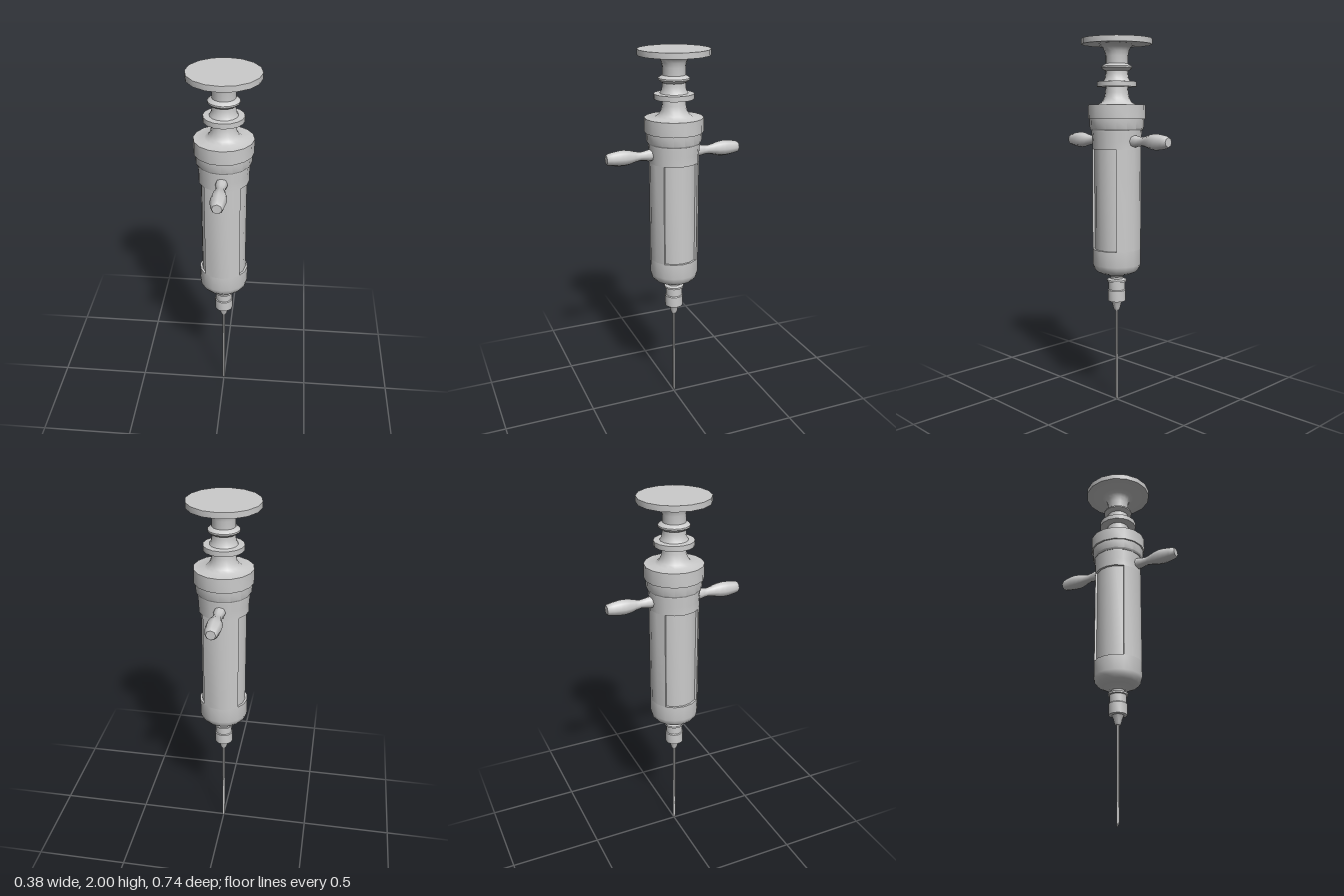
import * as THREE from 'three';
import { toCreasedNormals } from 'three/addons/utils/BufferGeometryUtils.js';

const SIDES = 16;

export function createModel() {
  const group = new THREE.Group();
  const material = new THREE.MeshStandardMaterial({ color: 0xcccccc });
  const thin = new THREE.MeshStandardMaterial({ color: 0xcccccc, side: THREE.DoubleSide });

  function add(name, geometry, parent = group, mat = material) {
    const mesh = new THREE.Mesh(geometry, mat);
    mesh.name = name;
    parent.add(mesh);
    return mesh;
  }

  // Turned part from [radius, height] pairs, listed bottom to top
  function turned(profile, sides = SIDES, crease = 0.65, start = 0, sweep = Math.PI * 2) {
    const points = profile.map(([r, y]) => new THREE.Vector2(r, y));
    return toCreasedNormals(new THREE.LatheGeometry(points, sides, start, sweep), crease);
  }

  // Plunger: thumb disc, ringed stem and stop flange
  add('thumbDisc', turned([
    [0.06, 1.86], [0.06, 1.91], [0.065, 1.935], [0.075, 1.955], [0.095, 1.967],
    [0.188, 1.97], [0.188, 2.0], [0, 2.0],
  ]));
  add('stemRing', turned([
    [0.06, 1.832], [0.072, 1.838], [0.082, 1.848], [0.082, 1.856], [0.072, 1.864], [0.06, 1.87],
  ]));
  add('plungerStem', turned([
    [0.06, 1.69], [0.06, 1.75], [0.105, 1.75], [0.105, 1.777], [0.073, 1.779],
    [0.064, 1.795], [0.06, 1.82], [0.06, 1.87],
  ]));

  // Barrel cap with a flared neck and a stepped collar
  add('barrelCap', turned([
    [0.13, 1.58], [0.155, 1.58], [0.155, 1.655], [0.098, 1.658], [0.08, 1.67],
    [0.068, 1.69], [0.062, 1.72], [0.06, 1.75],
  ]));
  add('capCollar', turned([
    [0.12, 1.52], [0.138, 1.52], [0.145, 1.53], [0.147, 1.58], [0.12, 1.58],
  ]));

  // Barrel: inner tube, solid ends and two side shells leaving windows at +x and -x
  const low = 0.875, high = 1.42, inner = 0.12, outer = 0.132;
  add('innerTube', turned([[inner, low - 0.02], [inner, high + 0.02]]));
  add('barrelTop', turned([
    [inner, high], [outer, high], [outer, 1.465], [0.136, 1.51], [0.136, 1.525],
  ]));
  add('barrelBase', turned([
    [0.034, 0.7], [0.036, 0.718], [0.048, 0.73], [0.085, 0.738], [0.112, 0.75],
    [0.127, 0.768], [outer, 0.79], [outer, low], [inner, low],
  ]));
  for (const side of [0, Math.PI]) {
    const shell = new THREE.Group();
    shell.name = 'barrelShell';
    shell.rotation.y = side;
    group.add(shell);
    add('shellWall', turned([[outer, low], [outer, high]], SIDES / 4, 0.65, -Math.PI / 4, Math.PI / 2), shell);
    for (const phi of [-Math.PI / 4, Math.PI / 4]) {
      const edge = new THREE.PlaneGeometry(outer - inner, high - low);
      edge.translate((outer + inner) / 2, (low + high) / 2, 0);
      edge.rotateY(phi - Math.PI / 2);
      add('windowEdge', edge, shell, thin);
    }
  }

  // Finger grips pointing forward and back
  const grip = turned([
    [0, 0.1], [0.03, 0.1], [0.031, 0.145], [0.026, 0.165], [0.023, 0.19], [0.029, 0.22],
    [0.038, 0.25], [0.042, 0.28], [0.041, 0.305], [0.036, 0.34], [0.031, 0.363],
    [0.025, 0.372], [0, 0.372],
  ], 8, 0.9);
  grip.rotateX(Math.PI / 2);
  for (const side of [0, Math.PI]) {
    const mesh = add('fingerGrip', grip);
    mesh.position.y = 1.464;
    mesh.rotation.y = side;
  }

  // Needle hub: collar, socket and tapering tip
  add('needleHub', turned([
    [0, 0.525], [0.014, 0.525], [0.02, 0.54], [0.024, 0.56], [0.032, 0.578], [0.05, 0.58],
    [0.05, 0.64], [0.046, 0.645], [0.046, 0.688], [0.054, 0.69], [0.054, 0.7],
    [0.036, 0.706], [0, 0.706],
  ]));

  // Needle with its lower end cut at a slant facing forward
  const r = 0.008, bottom = 0, top = 0.54;
  const needle = new THREE.CylinderGeometry(r, r, top - bottom, 8);
  needle.translate(0, (top + bottom) / 2, 0);
  const p = needle.attributes.position;
  for (let i = 0; i < p.count; i++) {
    if (p.getY(i) < 0.1) p.setY(i, bottom + ((p.getZ(i) + r) / (2 * r)) * 0.025);
  }
  add('needle', toCreasedNormals(needle, 0.9));

  return group;
}
